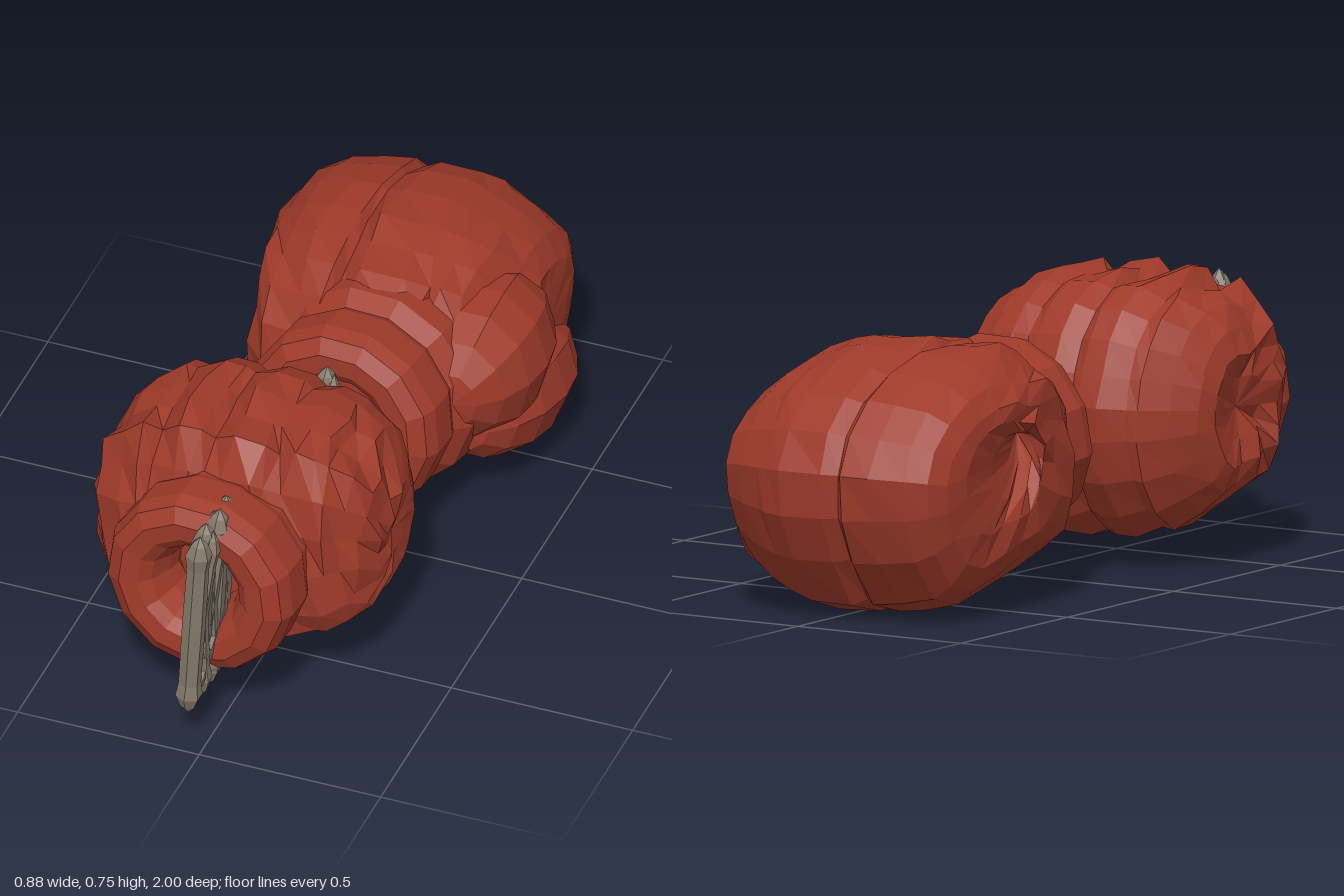
import * as THREE from 'three';

const red = new THREE.MeshStandardMaterial({ color: 0x9e3a2a, flatShading: true });
const cord = new THREE.MeshStandardMaterial({ color: 0x857a6c, flatShading: true });

// repeatable value in -1..1
const hash = (a, b) => {
  const s = Math.sin(a * 127.1 + b * 311.7) * 43758.5453;
  return (s - Math.floor(s)) * 2 - 1;
};

function add(parent, name, geometry, material) {
  const mesh = new THREE.Mesh(geometry, material);
  mesh.name = name;
  parent.add(mesh);
  return mesh;
}

// Lobed fist: a side outline [z, y] scaled about its centre at stations [x, scale, dz, dy].
// Vertices in front of roughZ are creased at random.
function fistGeometry(outline, [cz, cy], stations, roughZ, rough) {
  const curve = new THREE.CatmullRomCurve3(outline.map(([z, y]) => new THREE.Vector3(0, y, z)), true);
  const n = 20;
  const ring = curve.getPoints(n).slice(0, n);
  const pos = [], index = [];
  stations.forEach(([x, s, dz = 0, dy = 0], i) => {
    ring.forEach((p, j) => {
      const amount = s === 0 ? 0 : p.z > roughZ ? rough : 0.012;
      const k = s * (1 + hash(i + 1, j + 1) * amount - amount * 0.6);
      pos.push(x + hash(j + 5, i + 9) * amount * 0.3, cy + dy + (p.y - cy) * k, cz + dz + (p.z - cz) * k);
      if (i < stations.length - 1) {
        const a = i * n + j, c = i * n + (j + 1) % n;
        index.push(a, a + n, c, a + n, c + n, c);
      }
    });
  });
  const g = new THREE.BufferGeometry();
  g.setAttribute('position', new THREE.Float32BufferAttribute(pos, 3));
  g.setIndex(index);
  g.computeVertexNormals();
  return g;
}

// Faceted, slightly lumpy finger lobe
function lobe(parent, name, [x, y, z], [rx, ry, rz], tilt) {
  const g = new THREE.SphereGeometry(1, 10, 8);
  g.rotateX(Math.PI / 2);
  g.scale(rx, ry, rz);
  const mesh = add(parent, name, g, red);
  mesh.position.set(x, y, z);
  mesh.rotation.x = tilt;
}

// Rounded cuff with a neck behind it and a recessed opening, facing +z
function cuff(parent, name, [x, y, z], radius, neck, tiltX, tiltY) {
  const profile = [[neck, -0.3], [neck * 0.98, -0.22], [0.99, -0.175], [1.03, -0.15],
    [1.04, -0.06], [0.98, -0.02], [0.82, 0.005], [0.62, 0], [0.5, -0.025], [0.4, -0.08], [0.36, -0.13], [0, -0.14]];
  const g = new THREE.LatheGeometry(profile.map(([r, h]) => new THREE.Vector2(r * radius, h)), 13);
  g.rotateX(Math.PI / 2);
  const mesh = add(parent, name, g, red);
  mesh.position.set(x, y, z);
  mesh.rotation.set(tiltX, tiltY, 0);
}

// Lace strand: a six-sided bar with pointed, slightly knotted ends
function strand(parent, a, b, r) {
  const from = new THREE.Vector3(...a), to = new THREE.Vector3(...b);
  const L = from.distanceTo(to);
  const pts = [[0, 0], [0.7, 0.025], [1.15, 0.06], [0.95, 0.1], [1, L / 2], [0.95, L - 0.1],
    [1.15, L - 0.06], [0.7, L - 0.025], [0, L]].map(([k, h]) => new THREE.Vector2(k * r, h));
  const mesh = add(parent, 'laceStrand', new THREE.LatheGeometry(pts, 6), cord);
  mesh.position.copy(from);
  mesh.quaternion.setFromUnitVectors(new THREE.Vector3(0, 1, 0), to.sub(from).normalize());
}

// Upright strands with crossing diagonals between them
function laces(parent, name, rows, low, high) {
  const group = new THREE.Group();
  group.name = name;
  rows.forEach((z, i) => {
    const wob = hash(i, 3) * 0.012;
    strand(group, [-0.05 + wob, low, z], [-0.015 + wob, high, z], 0.031);
    if (i === 0) return;
    const prev = rows[i - 1];
    strand(group, [-0.055, low + 0.03, prev], [0, high - 0.02, z], 0.024);
    strand(group, [-0.03, low + 0.02, z], [-0.025, high - 0.01, prev], 0.024);
  });
  // long crossings
  const a = rows[0], b = rows[rows.length - 1];
  strand(group, [-0.04, low + 0.05, a + 0.005], [-0.02, low + 0.28, b], 0.024);
  strand(group, [-0.04, low + 0.01, b - 0.06], [-0.03, low + 0.2, a], 0.024);
  parent.add(group);
}

export function createModel() {
  const model = new THREE.Group();
  model.name = 'gloves';

  // Front glove
  const front = new THREE.Group();
  front.name = 'frontGlove';
  model.add(front);
  add(front, 'frontFist', fistGeometry(
    [[0.73, 0.4], [0.71, 0.6], [0.61, 0.74], [0.45, 0.74], [0.29, 0.72], [0.17, 0.63], [0.11, 0.5],
      [0.09, 0.37], [0.15, 0.2], [0.27, 0.08], [0.45, 0.09], [0.62, 0.13], [0.7, 0.2]],
    [0.43, 0.41],
    [[-0.39, 0, 0.03], [-0.41, 0.25, 0.03], [-0.43, 0.46, 0.03], [-0.41, 0.65, 0.04], [-0.36, 0.8, 0.03],
      [-0.3, 0.93, 0.01], [-0.27, 0.91], [-0.2, 1], [-0.14, 1], [-0.11, 0.96], [-0.06, 1.02], [0.02, 1],
      [0.05, 0.95], [0.1, 0.98], [0.17, 0.92], [0.2, 0.87], [0.25, 0.77], [0.29, 0.6], [0.32, 0.38],
      [0.32, 0.2], [0.31, 0]],
    0.4, 0.06), red);
  cuff(front, 'frontCuff', [-0.075, 0.405, 0.86], 0.252, 1, -0.03, -0.06);
  laces(front, 'frontLaces', [0.96, 0.9, 0.83, 0.77], 0.095, 0.67);

  // Rear glove, with thumb and lower finger on its +x side
  const rear = new THREE.Group();
  rear.name = 'rearGlove';
  model.add(rear);
  add(rear, 'rearFist', fistGeometry(
    [[-0.11, 0.38], [-0.16, 0.57], [-0.3, 0.67], [-0.47, 0.69], [-0.7, 0.66], [-0.9, 0.56], [-1, 0.4],
      [-0.96, 0.2], [-0.8, 0.01], [-0.55, 0.03], [-0.3, 0.08], [-0.15, 0.16]],
    [-0.57, 0.35],
    [[-0.28, 0, 0.17, 0.1], [-0.32, 0.12, 0.12, 0.07], [-0.36, 0.25, 0.04, 0.04], [-0.38, 0.42, -0.04, 0.02],
      [-0.37, 0.6, -0.04], [-0.34, 0.77, -0.02], [-0.29, 0.89], [-0.2, 0.95], [-0.12, 0.98], [-0.1, 0.94],
      [-0.06, 0.99], [0.06, 1], [0.12, 0.96], [0.15, 0.92], [0.22, 0.85], [0.29, 0.68, -0.03],
      [0.33, 0.48, -0.04], [0.34, 0.3, -0.04], [0.34, 0, -0.04]],
    -0.6, 0.05), red);
  lobe(rear, 'thumb', [0.25, 0.4, -0.38], [0.175, 0.21, 0.25], 0);
  lobe(rear, 'lowerFinger', [0.25, 0.22, -0.5], [0.18, 0.17, 0.3], -0.15);
  cuff(rear, 'rearCuff', [0, 0.375, 0.035], 0.258, 1.15, -0.1, -0.06);
  laces(rear, 'rearLaces', [0.1, 0.04], 0.16, 0.57);

  return model;
}
